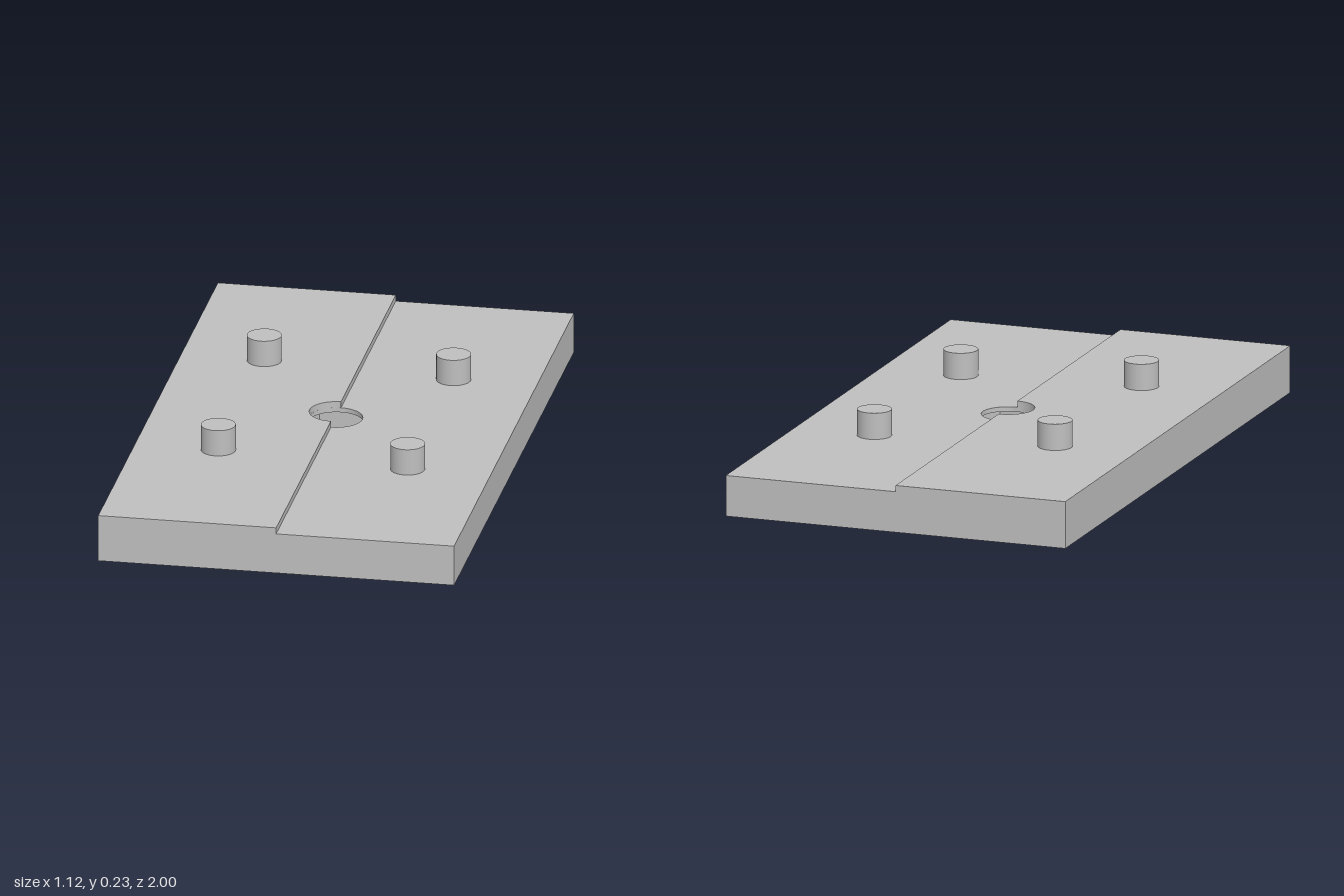
import * as THREE from 'three';
import { toCreasedNormals } from 'three/addons/utils/BufferGeometryUtils.js';

const HALF_X = 0.56, HALF_Z = 1;
const POCKET_TOP = 0.115, LOW_TOP = 0.13, HIGH_TOP = 0.15;
const HOLE_R = 0.083, NUT_R = 0.152;

// Horizontal slab between two heights, cut from a plan outline
function slab(shape, y0, y1) {
  const g = new THREE.ExtrudeGeometry(shape, { depth: y1 - y0, bevelEnabled: false, curveSegments: 32 });
  g.rotateX(-Math.PI / 2);
  g.translate(0, y0, 0);
  return toCreasedNormals(g, 0.5);
}

function plateOutline() {
  return new THREE.Shape([
    new THREE.Vector2(-HALF_X, -HALF_Z), new THREE.Vector2(HALF_X, -HALF_Z),
    new THREE.Vector2(HALF_X, HALF_Z), new THREE.Vector2(-HALF_X, HALF_Z),
  ]);
}

export function createModel() {
  const group = new THREE.Group();
  const grey = new THREE.MeshStandardMaterial({ color: 0xbfbfbf });
  grey.name = 'plain grey';

  const add = (name, geometry) => {
    const mesh = new THREE.Mesh(geometry, grey);
    mesh.name = name;
    group.add(mesh);
    return mesh;
  };

  // Base with the hexagonal nut pocket open underneath
  const base = plateOutline();
  const hex = [];
  for (let i = 0; i < 6; i++) {
    const a = -i * Math.PI / 3;
    hex.push(new THREE.Vector2(Math.cos(a) * NUT_R, Math.sin(a) * NUT_R));
  }
  base.holes.push(new THREE.Path(hex));
  add('pocketLayer', slab(base, 0, POCKET_TOP));

  // Web above the pocket with the round bolt hole
  const web = plateOutline();
  web.holes.push(new THREE.Path().absarc(0, 0, HOLE_R, 0, Math.PI * 2, true));
  add('boltHoleLayer', slab(web, POCKET_TOP, LOW_TOP));

  // Raised half on the -x side, notched by half of the hole
  const step = new THREE.Shape();
  step.moveTo(0, HALF_Z);
  step.lineTo(-HALF_X, HALF_Z);
  step.lineTo(-HALF_X, -HALF_Z);
  step.lineTo(0, -HALF_Z);
  step.lineTo(0, -HOLE_R);
  step.absarc(0, 0, HOLE_R, -Math.PI / 2, Math.PI / 2, true);
  step.closePath();
  add('raisedStep', slab(step, LOW_TOP, HIGH_TOP));

  // Four locating pins, equally tall above their own half
  const pin = new THREE.CylinderGeometry(0.054, 0.054, 0.084, 48);
  for (const sx of [-1, 1]) {
    for (const sz of [-1, 1]) {
      const y = (sx < 0 ? HIGH_TOP : LOW_TOP) + 0.042;
      add('locatingPin', pin).position.set(sx * 0.298, y, sz * 0.384);
    }
  }
  return group;
}
